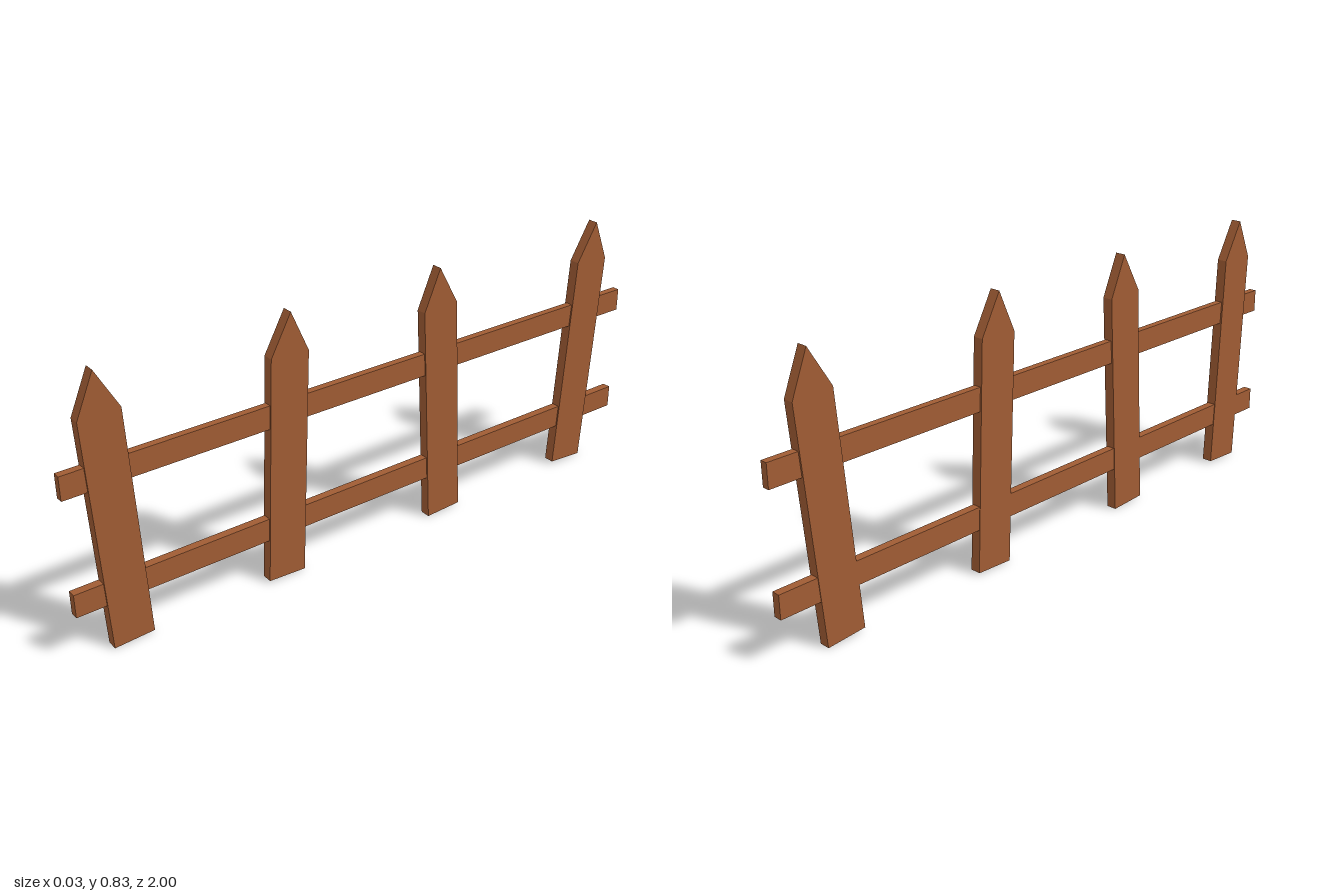
import * as THREE from 'three';

export function createModel() {
  const fence = new THREE.Group();
  fence.name = 'fence';
  const wood = new THREE.MeshStandardMaterial({ color: 0xa05c34 });
  wood.name = 'brown wood';

  // Pointed board outline, extruded across the thickness of the fence
  const half = 0.0615, thick = 0.033;
  const outline = new THREE.Shape([
    [-half, 0], [half, 0], [half, 0.705], [0, 0.83], [-half, 0.705],
  ].map(([x, y]) => new THREE.Vector2(x, y)));
  const picketGeometry = new THREE.ExtrudeGeometry(outline, { depth: thick, bevelEnabled: false });
  picketGeometry.translate(0, 0, -thick / 2).rotateY(-Math.PI / 2);

  // Pickets: position of the foot along z, and lean in radians
  [[0.8425, 0.0457], [0.3395, -0.05], [-0.2595, 0.043], [-0.8025, -0.0757]].forEach(([z, lean], i) => {
    const picket = new THREE.Mesh(picketGeometry, wood);
    picket.name = `picket${i + 1}`;
    picket.rotation.x = lean;
    picket.position.set(0, half * Math.sin(Math.abs(lean)), z);
    fence.add(picket);
  });

  // Horizontal rails running the full length, thinner than the pickets
  const addRail = (name, x0, x1, y0, y1) => {
    const rail = new THREE.Mesh(new THREE.BoxGeometry(x1 - x0, y1 - y0, 2), wood);
    rail.name = name;
    rail.position.set((x0 + x1) / 2, (y0 + y1) / 2, 0);
    fence.add(rail);
  };
  addRail('upperRail', -0.011, 0.012, 0.499, 0.571);
  addRail('lowerRail', -0.0145, 0.012, 0.141, 0.213);

  return fence;
}
